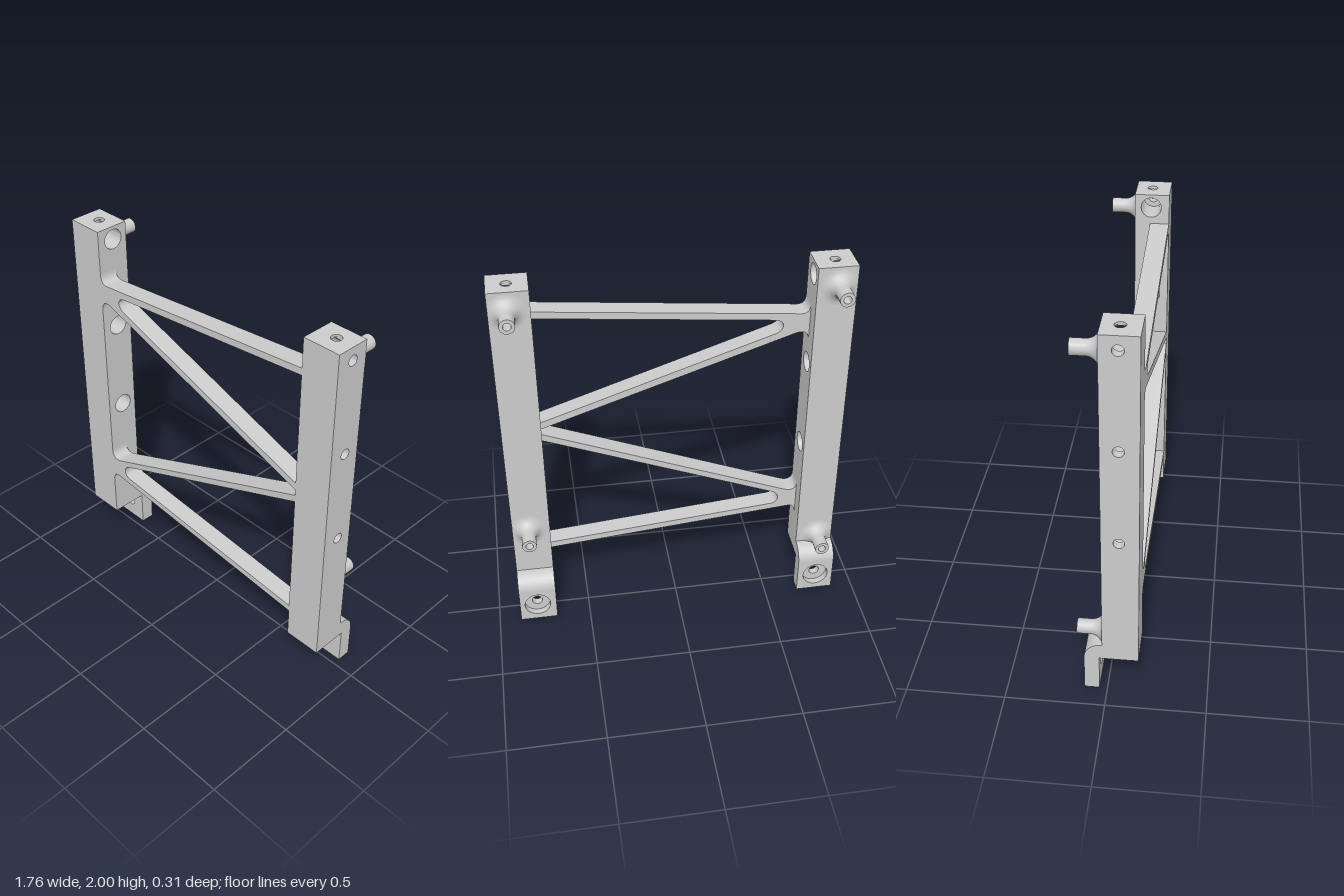
import * as THREE from 'three';
import { toCreasedNormals } from 'three/addons/utils/BufferGeometryUtils.js';

const material = new THREE.MeshStandardMaterial({ color: 0xcccccc });
const IN = 0.6825, OUT = 0.8825;          // inner and outer faces of the posts (|x|)
const BACK = -0.025, FRONT = 0.155;       // post depth range (z)
const FOOT_BACK = -0.115, FOOT_FRONT = -0.04;
const POST_BOTTOM = 0.2, CAP_BOTTOM = 1.988, TOP = 2;
const HOLE_Z = 0.06, HOLE_X = 0.785, SMALL = 0.027, LARGE = 0.053;
const HOLE_YS = [0.925, 1.43, 1.93];

function mesh(name, geometry) {
  const m = new THREE.Mesh(toCreasedNormals(geometry, 0.6), material);
  m.name = name;
  return m;
}

function extrude(shape, depth) {
  return new THREE.ExtrudeGeometry(shape, { depth, bevelEnabled: false, curveSegments: 20 });
}

// Shape drawn in (z, y), extruded between two x positions
function slabX(name, shape, xa, xb) {
  const g = extrude(shape, Math.abs(xb - xa));
  g.rotateY(-Math.PI / 2).translate(Math.max(xa, xb), 0, 0);
  return mesh(name, g);
}

// Shape drawn in (x, y), extruded between two z positions
function slabZ(name, shape, z0, z1) {
  return mesh(name, extrude(shape, z1 - z0).translate(0, 0, z0));
}

function rect(x0, y0, x1, y1) {
  return new THREE.Shape([[x0, y0], [x1, y0], [x1, y1], [x0, y1]].map(p => new THREE.Vector2(...p)));
}

function addHole(shape, x, y, r) {
  shape.holes.push(new THREE.Path().absarc(x, y, r, 0, Math.PI * 2, true));
  return shape;
}

// Side outline of a post with its row of cross holes
function postShape(radius, ys = HOLE_YS) {
  const s = rect(BACK, POST_BOTTOM, FRONT, CAP_BOTTOM);
  ys.forEach(y => addHole(s, HOLE_Z, y, radius));
  return s;
}

// Same outline, with the top cross hole opened upwards to meet the vertical hole
function notchedPostShape() {
  const a = Math.acos(SMALL / LARGE);
  const s = new THREE.Shape();
  s.moveTo(BACK, POST_BOTTOM);
  s.lineTo(FRONT, POST_BOTTOM);
  s.lineTo(FRONT, CAP_BOTTOM);
  s.lineTo(HOLE_Z + SMALL, CAP_BOTTOM);
  s.absarc(HOLE_Z, HOLE_YS[2], LARGE, a, Math.PI - a, true);
  s.lineTo(HOLE_Z - SMALL, CAP_BOTTOM);
  s.lineTo(BACK, CAP_BOTTOM);
  HOLE_YS.slice(0, 2).forEach(y => addHole(s, HOLE_Z, y, LARGE));
  return s;
}

// Post: layers with wide bores inside and small holes through the outer wall
function makePost(side) {
  const post = new THREE.Group();
  const wall = 0.835;
  post.add(
    slabX('postInnerLayer', postShape(LARGE), side * IN, side * (HOLE_X - SMALL)),
    slabX('postMiddleLayer', notchedPostShape(), side * (HOLE_X - SMALL), side * (HOLE_X + SMALL)),
    slabX('postBoreEnd', postShape(LARGE), side * (HOLE_X + SMALL), side * wall),
    slabX('postOuterWall', postShape(SMALL), side * wall, side * OUT));
  // Top cap with the vertical hole
  const x0 = Math.min(side * IN, side * OUT), x1 = Math.max(side * IN, side * OUT);
  const cap = addHole(rect(x0, -FRONT, x1, -BACK), side * HOLE_X, -HOLE_Z, SMALL);
  post.add(mesh('postCap', extrude(cap, TOP - CAP_BOTTOM).rotateX(-Math.PI / 2).translate(0, CAP_BOTTOM, 0)));
  return post;
}

// Mounting foot: counterbored tab with a rounded shoulder against the post
function makeFoot(side) {
  const foot = new THREE.Group();
  const x0 = Math.min(side * IN, side * OUT), x1 = Math.max(side * IN, side * OUT);
  const tab = r => addHole(rect(x0, 0, x1, POST_BOTTOM), side * HOLE_X, 0.103, r);
  const step = FOOT_BACK + 0.035;
  foot.add(slabZ('footTab', tab(0.028), step, FOOT_FRONT));
  foot.add(slabZ('footCounterbore', tab(0.07), FOOT_BACK, step));
  const r = 0.086;
  const s = new THREE.Shape();
  s.moveTo(BACK, POST_BOTTOM);
  s.lineTo(BACK, POST_BOTTOM + r);
  s.absarc(FOOT_BACK + r, POST_BOTTOM, r, Math.PI / 2, Math.PI, false);
  foot.add(slabX('footShoulder', s, side * IN, side * OUT));
  return foot;
}

// Hollow peg with a flared base, trimmed at the post's outer face
function makePeg(side, y) {
  const r = 0.038, fillet = 0.06, length = BACK + 0.155, bore = 0.02;
  const pts = [];
  for (let i = 0; i <= 10; i++) {
    const a = (i / 10) * Math.PI / 2;
    pts.push([r + fillet * (1 - Math.sin(a)), fillet * (1 - Math.cos(a))]);
  }
  pts.push([r, length], [bore, length], [bore, 0.02], [0, 0.02]);
  const g = new THREE.LatheGeometry(pts.map(p => new THREE.Vector2(...p)), 32);
  g.rotateX(-Math.PI / 2).translate(side * 0.797, y, BACK);
  const p = g.attributes.position;
  for (let i = 0; i < p.count; i++) p.setX(i, THREE.MathUtils.clamp(p.getX(i), -OUT, OUT));
  return mesh('peg', g);
}

// Two braces spreading from a filleted root on one post to the other post
function makeBraces(name, v) {
  const s = new THREE.Shape();
  s.moveTo(-IN, v.rootTop);
  s.quadraticCurveTo(-IN, v.cornerTop, ...v.startTop);
  s.lineTo(IN, v.ends[0]);
  s.lineTo(IN, v.ends[1]);
  s.lineTo(...v.crotch[0]);
  s.bezierCurveTo(...v.crotch[1], ...v.crotch[2], ...v.crotch[3]);
  s.lineTo(IN, v.ends[2]);
  s.lineTo(IN, v.ends[3]);
  s.lineTo(...v.startBottom);
  s.quadraticCurveTo(-IN, v.cornerBottom, -IN, v.rootBottom);
  return slabZ(name, s, 0.055, FRONT);
}

export function createModel() {
  const model = new THREE.Group();
  model.name = 'bracedFrame';

  for (const [side, label, pegYs] of [[1, 'left', [1.893, 0.565]], [-1, 'right', [1.893, 0.328]]]) {
    const post = makePost(side);
    post.name = label + 'Post';
    const foot = makeFoot(side);
    foot.name = label + 'Foot';
    model.add(post, foot);
    pegYs.forEach(y => model.add(makePeg(side, y)));
  }

  model.add(makeBraces('upperBraces', {
    rootTop: 1.765, cornerTop: 1.708, startTop: [-0.63, 1.715],
    ends: [1.842, 1.805, 1.2, 1.16],
    crotch: [[-0.5, 1.69], [-0.565, 1.685], [-0.565, 1.628], [-0.505, 1.609]],
    startBottom: [-0.615, 1.606], cornerBottom: 1.625, rootBottom: 1.56,
  }));
  model.add(makeBraces('lowerBraces', {
    rootTop: 0.65, cornerTop: 0.585, startTop: [-0.615, 0.607],
    ends: [1.127, 1.088, 0.397, 0.36],
    crotch: [[-0.55, 0.597], [-0.592, 0.577], [-0.592, 0.52], [-0.54, 0.515]],
    startBottom: [-0.63, 0.488], cornerBottom: 0.495, rootBottom: 0.44,
  }));
  return model;
}
